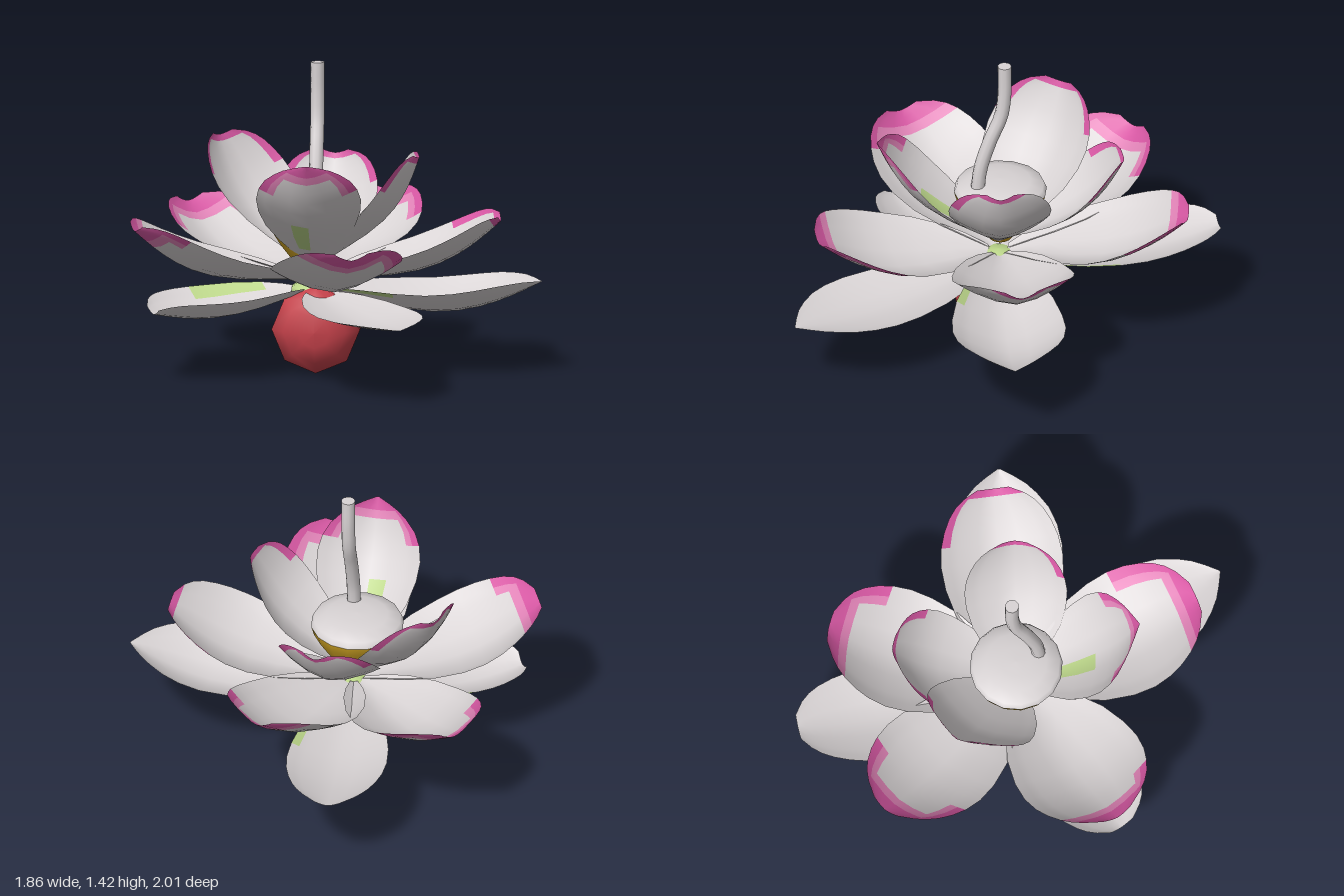
import * as THREE from 'three';

const mat = (name, color) =>
  Object.assign(new THREE.MeshStandardMaterial({ color, side: THREE.DoubleSide }), { name });

const CX = -0.12, CZ = 0.02; // axis the petals grow from
// rows along a petal, columns across it
const US = [0, 0.1, 0.2, 0.35, 0.5, 0.62, 0.72, 0.8, 0.87, 0.92, 0.96, 1];
const VS = [-1, -0.84, -0.7, -0.35, 0, 0.35, 0.7, 0.84, 1];
// half width along the petal, as a share of the widest
const BLUNT = [0.14, 0.4, 0.62, 0.85, 0.97, 1, 0.96, 0.88, 0.77, 0.65, 0.5, 0.26];
const POINTED = [0.14, 0.4, 0.62, 0.85, 0.97, 1, 0.94, 0.82, 0.63, 0.45, 0.25, 0.02];

// material index of a cell: 0 white, 1 pink, 2 pale pink, 3 green
function tint(u, v, { pink, from = 0.72, green, thin }) {
  if (green && u > green[0] && u < green[1] && v > green[2] && v < green[3]) return 3;
  if (!pink) return 0;
  const edge = (w) => u > from && (v > w ? pink !== 'right' : v < -w && pink !== 'left');
  if (u > (thin ? 0.96 : 0.92) || edge(0.84)) return 1;
  return !thin && (u > 0.87 || edge(0.7)) ? 2 : 0;
}

// cupped sheet from a base near the axis out to a tip
function petalGeometry(p) {
  const tip = new THREE.Vector3(...p.tip);
  const out = new THREE.Vector3(tip.x - CX, 0, tip.z - CZ).normalize();
  const base = new THREE.Vector3(CX, p.y, CZ).addScaledVector(out, p.start);
  const side = new THREE.Vector3(0, 1, 0).cross(out);
  const chord = tip.clone().sub(base);
  const normal = chord.clone().cross(side).normalize();
  const shape = p.pointed ? POINTED : BLUNT;
  const pos = [], cells = [[], [], [], []], n = VS.length;
  US.forEach((u, i) => VS.forEach((v) => {
    const lift = p.cup * shape[i] * Math.abs(v) ** 1.6 - p.sag * Math.sin(Math.PI * u ** 1.2);
    const q = base.clone().addScaledVector(chord, u)
      .addScaledVector(side, v * p.width * shape[i])
      .addScaledVector(normal, lift);
    pos.push(q.x, q.y, q.z);
  }));
  for (let i = 0; i < US.length - 1; i++) {
    for (let j = 0; j < n - 1; j++) {
      const a = i * n + j, b = a + n;
      const k = tint((US[i] + US[i + 1]) / 2, (VS[j] + VS[j + 1]) / 2, p);
      cells[k].push(a, b, a + 1, b, b + 1, a + 1);
    }
  }
  const geo = new THREE.BufferGeometry();
  geo.setAttribute('position', new THREE.Float32BufferAttribute(pos, 3));
  geo.setIndex(cells.flat());
  let start = 0;
  cells.forEach((c, k) => {
    if (c.length) geo.addGroup(start, c.length, k);
    start += c.length;
  });
  geo.computeVertexNormals();
  return geo;
}

// three rings of petals; shared sizes first, then each petal
const RINGS = [
  { name: 'lowerPetal', y: 0.37, start: 0.03, sag: 0.06, cup: 0.07, petals: [
    { tip: [-0.22, 0.43, -1], width: 0.23, green: [0.2, 0.5, -1, -0.84] },
    { tip: [0.93, 0.43, 0.05], width: 0.26, sag: 0.12, cup: 0.12, pointed: true, green: [0.1, 0.35, -1, -0.84] },
    { tip: [0.35, 0.36, 1], width: 0.24, sag: 0.045, cup: 0.05, pointed: true },
    { tip: [-0.82, 0.32, 0.42], width: 0.24, sag: 0.06, cup: 0.11, green: [0.2, 0.62, -1, -0.7] },
  ] },
  { name: 'middlePetal', y: 0.42, start: 0.04, sag: 0.1, cup: 0.12, petals: [
    { tip: [0.74, 0.7, 0], width: 0.28, pink: 'left', thin: true },
    { tip: [0.15, 0.7, -0.82], width: 0.29, pink: 'right' },
    { tip: [-0.74, 0.66, -0.66], width: 0.28, pink: 'both' },
    { tip: [-0.91, 0.7, 0.39], width: 0.3, pink: 'left', from: 0.8 },
    { tip: [0.12, 0.66, 0.87], width: 0.3, pink: 'left', from: 0.62 },
  ] },
  { name: 'upperPetal', y: 0.5, start: 0.05, sag: 0.075, cup: 0.1, petals: [
    { tip: [-0.11, 1.04, 0.58], width: 0.24, pink: 'both', pointed: true, green: [0.2, 0.5, -0.35, 0] },
    { tip: [0.37, 1, 0.06], width: 0.235, pink: 'right', thin: true },
    { tip: [-0.06, 0.91, -0.55], width: 0.235, pink: 'both', thin: true },
    { tip: [-0.57, 1.03, -0.31], width: 0.26, pink: 'both', thin: true },
  ] },
];

const lathe = (profile, sides) =>
  new THREE.LatheGeometry(profile.map(([r, y]) => new THREE.Vector2(r, y)), sides);

export function createModel() {
  const group = new THREE.Group();
  const white = mat('petal white', 0xd9d4d5);
  const pink = mat('petal pink', 0xd858a4);
  const palePink = mat('pale pink', 0xe284b8);
  const green = mat('pale green', 0xbcd68a);
  const yellow = mat('yellow', 0xd0a423);
  const red = mat('red', 0xc5414a);
  const add = (name, geo, material, x = 0, y = 0, z = 0) => {
    const mesh = new THREE.Mesh(geo, material);
    mesh.name = name;
    mesh.position.set(x, y, z);
    group.add(mesh);
  };

  for (const { petals, name, ...shared } of RINGS) {
    petals.forEach((p, i) =>
      add(name + (i + 1), petalGeometry({ ...shared, ...p }), [white, pink, palePink, green]));
  }

  // green base that joins the petals to the bulb
  add('receptacle', lathe([[0.1, 0.37], [0.1, 0.39], [0.05, 0.425], [0, 0.43]], 10), green, CX, 0, CZ);

  // seed pod: yellow cup under a shallow white dome
  add('podCup', lathe([[0.05, 0.48], [0.13, 0.58], [0.2, 0.69], [0.213, 0.735]], 16), yellow, -0.14, 0, 0.01);
  add('podDome', lathe([[0.213, 0.735], [0.2, 0.765], [0.14, 0.785], [0.07, 0.793], [0, 0.795]], 16), white, -0.14, 0, 0.01);

  // bent stem with a closed top
  const path = new THREE.CatmullRomCurve3([
    [0.12, 0.75], [0.105, 0.88], [0.06, 1.03], [0.01, 1.16], [-0.005, 1.28], [-0.005, 1.425],
  ].map(([z, y]) => new THREE.Vector3(-0.1, y, z)));
  add('stem', new THREE.TubeGeometry(path, 14, 0.032, 10), white);
  add('stemEnd', new THREE.CircleGeometry(0.032, 10).rotateX(-Math.PI / 2), white, -0.1, 1.425, -0.005);

  // two-lobed bulb, turned about the front-to-back axis
  const lobe = [[0.185, 0], [0.2, 0.04], [0.202, 0.1], [0.145, 0.175], [0.07, 0.2], [0, 0.205]];
  const back = lobe.slice(1).reverse().map(([r, d]) => [r, -d]);
  add('bulb', lathe([...back, ...lobe], 8).rotateX(Math.PI / 2), red, -0.1, 0.205, 0.015);

  return group;
}
